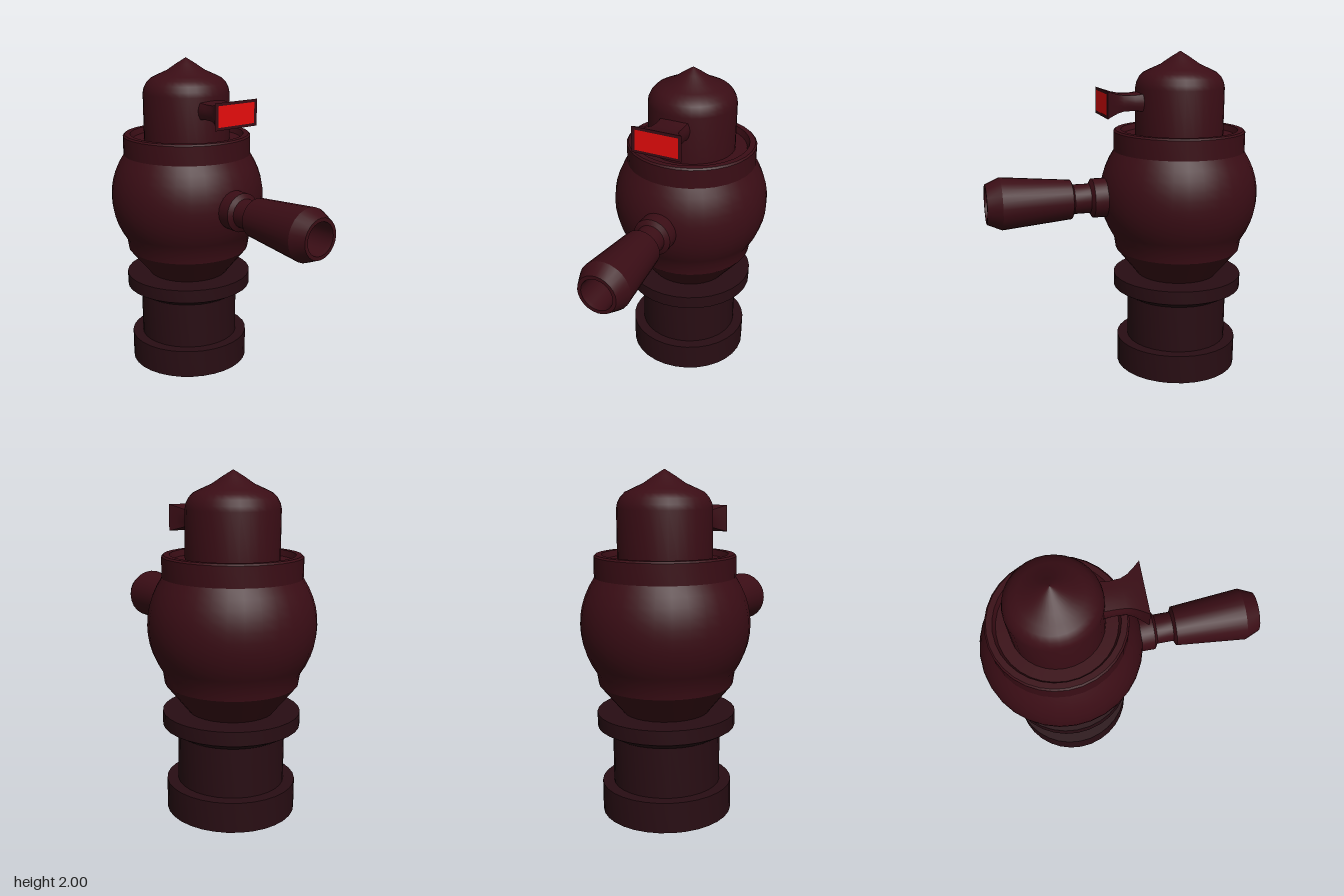
import * as THREE from 'three';
import { toCreasedNormals } from 'three/addons/utils/BufferGeometryUtils.js';

const SEGMENTS = 32;
const AXIS_Z = -0.355;

const material = (color) => new THREE.MeshStandardMaterial({ color, side: THREE.DoubleSide });

function addMesh(group, name, geometry, mat) {
  const mesh = new THREE.Mesh(geometry, mat);
  mesh.name = name;
  group.add(mesh);
  return mesh;
}

// Turned part from [radius, height] pairs, with sharp edges kept
function turned(profile, segments = SEGMENTS) {
  const points = profile.map(([r, y]) => new THREE.Vector2(r, y));
  return toCreasedNormals(new THREE.LatheGeometry(points, segments), 0.45);
}

// Loft along z: each section is [z, halfWidth, halfHeight, squareness 0..1]
function loft(sections, sides = 16) {
  const positions = [];
  const index = [];
  sections.forEach(([z, w, h, square]) => {
    for (let i = 0; i < sides; i++) {
      const a = (i / sides) * Math.PI * 2;
      const c = Math.cos(a), s = Math.sin(a);
      const k = Math.pow(Math.max(Math.abs(c), Math.abs(s)), square);
      positions.push((w * c) / k, (h * s) / k, z);
    }
  });
  for (let j = 0; j < sections.length - 1; j++) {
    for (let i = 0; i < sides; i++) {
      const a = j * sides + i, b = j * sides + ((i + 1) % sides);
      index.push(a, b, b + sides, a, b + sides, a + sides);
    }
  }
  // Front cap
  const last = (sections.length - 1) * sides;
  for (let i = 1; i < sides - 1; i++) index.push(last, last + i, last + i + 1);
  const geometry = new THREE.BufferGeometry();
  geometry.setAttribute('position', new THREE.Float32BufferAttribute(positions, 3));
  geometry.setIndex(index);
  return toCreasedNormals(geometry, 0.5);
}

export function createModel() {
  const model = new THREE.Group();
  model.name = 'whistleValve';
  const dark = material(0x280d13);
  const maroon = material(0x3a0d15);
  const red = material(0xe80c0c);
  const grey = material(0xcccccc);

  // Foot, pipe and flange
  const base = addMesh(model, 'base', turned([
    [0, 0], [0.383, 0], [0.383, 0.18], [0.316, 0.18], [0.316, 0.48],
    [0.325, 0.48], [0.405, 0.527], [0.405, 0.61], [0, 0.61],
  ]), dark);
  base.position.z = AXIS_Z;

  // Bulbous body: cone, collar, bulge, and recessed top rim
  const bulge = [];
  for (let i = 0; i <= 10; i++) {
    const t = -1 + i / 5;
    bulge.push([0.49 - 0.087 * Math.pow(Math.abs(t), 2.1), 1.127 + 0.275 * t]);
  }
  const body = addMesh(model, 'body', turned([
    [0.25, 0.605], [0.392, 0.78], ...bulge,
    [0.405, 1.402], [0.405, 1.52], [0.395, 1.53], [0.36, 1.53], [0.345, 1.495], [0.26, 1.495],
  ]), maroon);
  body.position.z = AXIS_Z;

  // Domed cap with a pointed tip
  const cap = addMesh(model, 'cap', turned([
    [0.272, 1.49], [0.272, 1.785], [0.266, 1.815], [0.25, 1.847], [0.222, 1.875],
    [0.18, 1.895], [0.12, 1.922], [0.06, 1.963], [0, 2],
  ]), maroon);
  cap.position.z = AXIS_Z;

  // Flared spout with its red front plate
  const spout = new THREE.Group();
  spout.name = 'spout';
  spout.position.y = 1.705;
  model.add(spout);
  addMesh(spout, 'spoutArm', loft([
    [-0.16, 0.1, 0.058, 0.6], [-0.085, 0.1, 0.057, 0.6], [-0.05, 0.097, 0.052, 0.6],
    [0.02, 0.098, 0.052, 0.7], [0.06, 0.108, 0.058, 0.85],
    [0.1, 0.13, 0.068, 1], [0.135, 0.158, 0.08, 1],
  ]), maroon);
  addMesh(spout, 'spoutPlate', new THREE.PlaneGeometry(0.272, 0.125), red).position.z = 0.137;

  // Handle: collar, neck and hollow grip, turned about z
  const handle = new THREE.Group();
  handle.name = 'handle';
  handle.position.y = 1.125;
  handle.rotation.x = Math.PI / 2;
  model.add(handle);
  addMesh(handle, 'grip', turned([
    [0.12, 0.05], [0.12, 0.2], [0.09, 0.218], [0.09, 0.318], [0.12, 0.333],
    [0.158, 0.755], [0.12, 0.843], [0.098, 0.843], [0.095, 0.82], [0.095, 0.36],
  ], 24), maroon);

  // Disc at the bottom of the bore
  const disc = addMesh(handle, 'boreEnd', new THREE.CircleGeometry(0.096, 24), grey);
  disc.rotation.x = -Math.PI / 2;
  disc.position.y = 0.362;

  return model;
}
